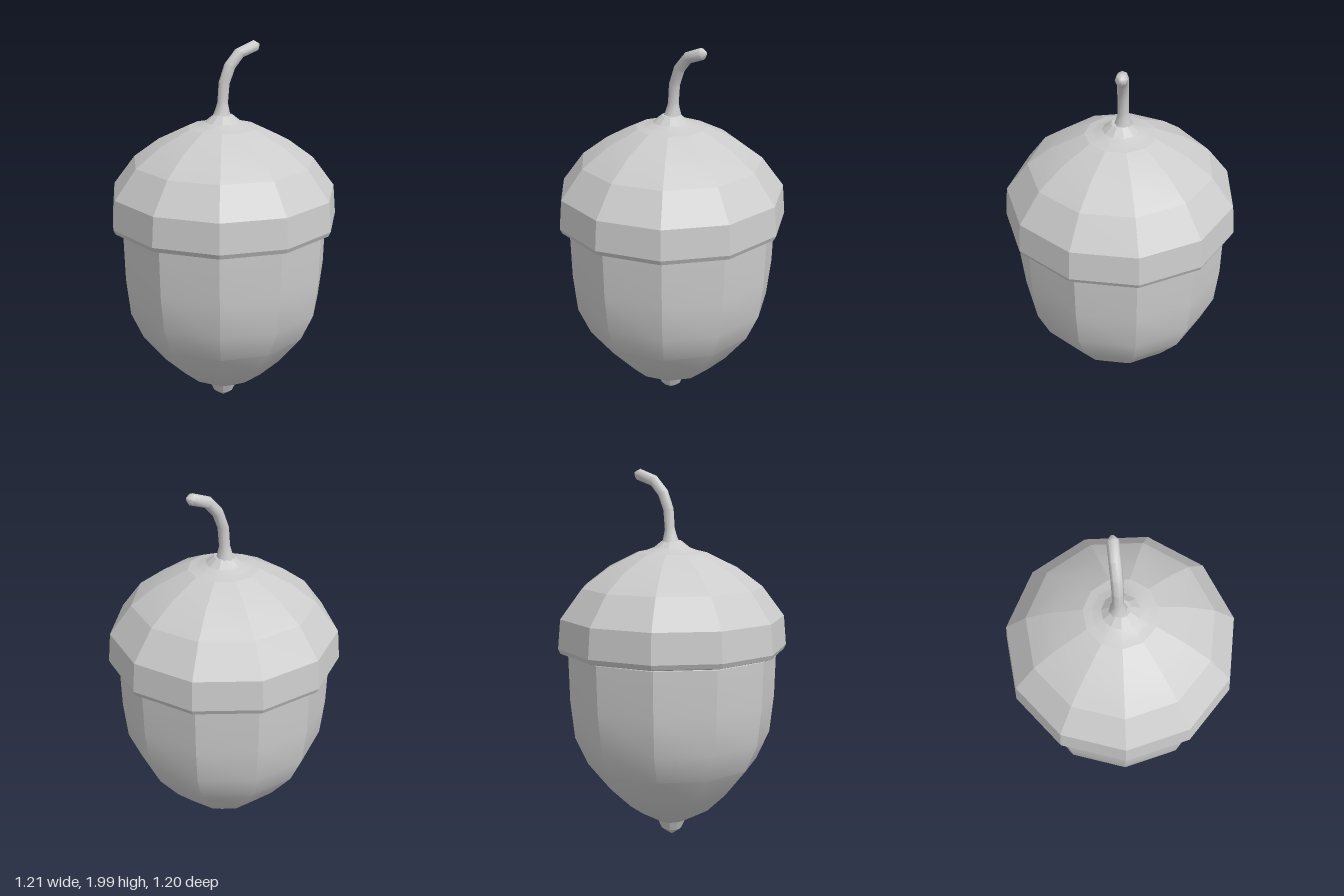
import * as THREE from 'three';
import { toCreasedNormals, mergeVertices } from 'three/addons/utils/BufferGeometryUtils.js';

const SIDES = 11;
const TURN = -0.035; // slight twist of the faceted body about y
const material = new THREE.MeshStandardMaterial({ color: 0xcccccc });

function part(name, geometry, crease) {
  const mesh = new THREE.Mesh(toCreasedNormals(geometry, crease), material);
  mesh.name = name;
  return mesh;
}

// Faceted body of revolution; profile runs from bottom to top as [radius, y]
function turned(name, profile, crease) {
  const points = profile.map(([r, y]) => new THREE.Vector2(r, y));
  return part(name, new THREE.LatheGeometry(points, SIDES, TURN), crease);
}

// Round sweep along stations [x, y, z, radius] that bend in the xy plane
function sweep(stations, sides) {
  const positions = [], index = [];
  stations.forEach(([x, y, z, r], i) => {
    const a = stations[Math.max(i - 1, 0)];
    const b = stations[Math.min(i + 1, stations.length - 1)];
    const t = new THREE.Vector2(b[0] - a[0], b[1] - a[1]).normalize();
    for (let j = 0; j < sides; j++) {
      const q = (j / sides) * Math.PI * 2;
      const u = Math.cos(q) * r;
      positions.push(x + t.y * u, y - t.x * u, z - Math.sin(q) * r);
      if (i === 0) continue;
      const k = (j + 1) % sides;
      const lo = (i - 1) * sides, hi = i * sides;
      index.push(lo + j, lo + k, hi + k, lo + j, hi + k, hi + j);
    }
  });
  const geometry = new THREE.BufferGeometry();
  geometry.setAttribute('position', new THREE.Float32BufferAttribute(positions, 3));
  geometry.setIndex(index);
  return mergeVertices(geometry);
}

export function createModel() {
  const acorn = new THREE.Group();
  acorn.name = 'acorn';

  // Nut with its small pointed tip
  acorn.add(turned('nut', [
    [0, 0.01], [0.055, 0.05], [0.078, 0.1], [0.23, 0.188], [0.34, 0.295],
    [0.463, 0.45], [0.53, 0.6], [0.552, 0.8], [0.558, 1.04], [0.54, 1.07],
  ], 0.5));

  // Cap: rolled lip, domed shell and a flared neck below the stem
  acorn.add(turned('cap', [
    [0.53, 1.05], [0.565, 1.045], [0.598, 1.055], [0.61, 1.08], [0.596, 1.235],
    [0.48, 1.39], [0.345, 1.49], [0.185, 1.568], [0.14, 1.577], [0.095, 1.594],
    [0.05, 1.63], [0, 1.63],
  ], 0.22));

  // Curved stem with a blunt end
  acorn.add(part('stem', sweep([
    [0, 1.62, -0.012, 0.048], [0.003, 1.655, -0.012, 0.037], [0.005, 1.69, -0.012, 0.028],
    [0.013, 1.79, -0.011, 0.029], [0.045, 1.875, -0.008, 0.03], [0.1, 1.937, -0.003, 0.03],
    [0.192, 1.97, 0.006, 0.03], [0.214, 1.976, 0.008, 0.008], [0.215, 1.976, 0.008, 0],
  ], 8), 0.8));

  return acorn;
}
